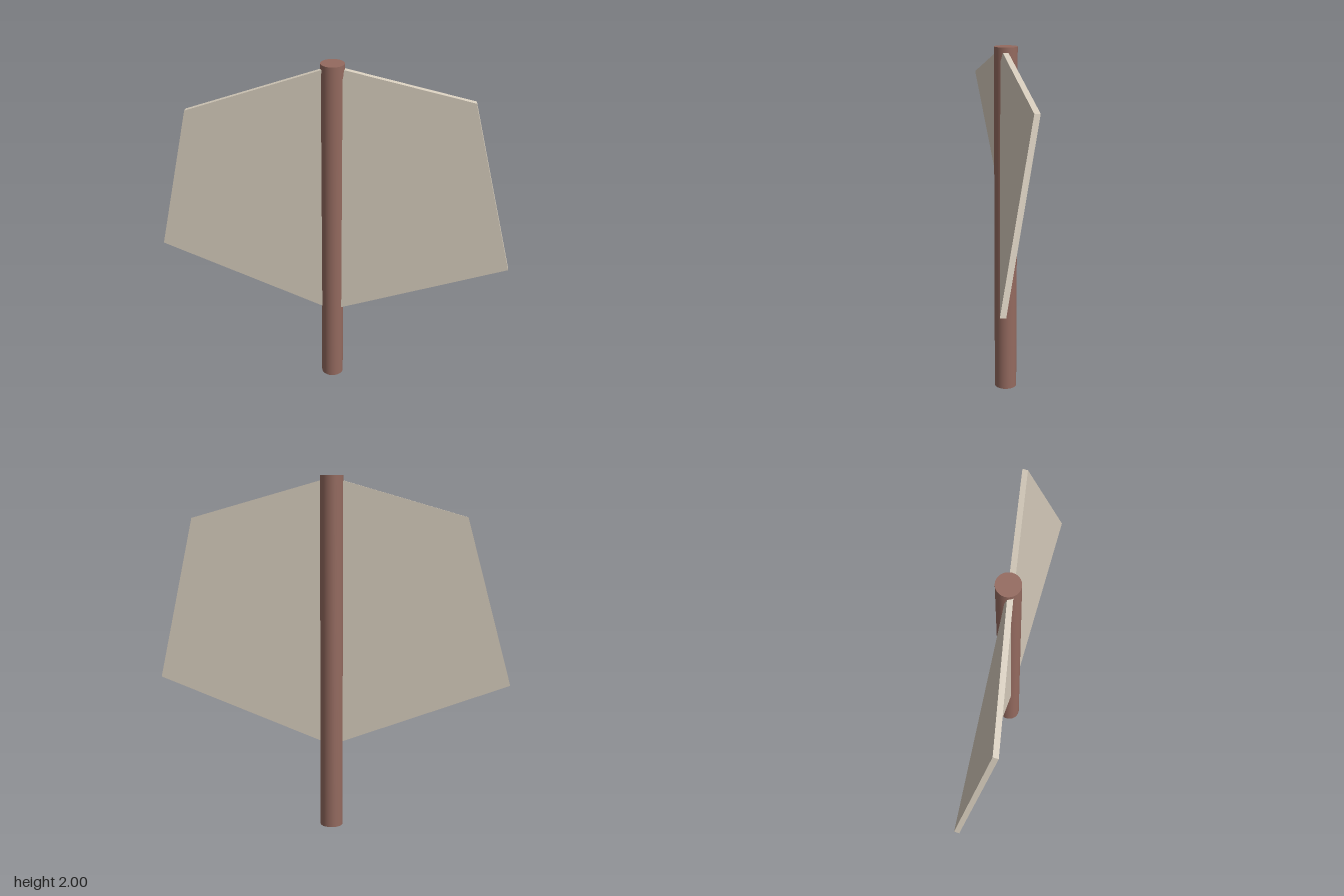
import * as THREE from 'three';

const canvasMat = new THREE.MeshStandardMaterial({ color: 0xd7cdbd });
canvasMat.name = 'beige canvas';
const woodMat = new THREE.MeshStandardMaterial({ color: 0x946a5f });
woodMat.name = 'brown wood';

// A thin slab with one bent-back corner; faces keep the shading of a flat panel
function panelGeometry() {
  const half = 0.015;
  const outline = [[0, 0.475, 0], [1, 0.85, 0], [0.75, 1.77, -0.16], [0, 1.99, 0]];
  const pos = [], nor = [];
  const at = (i, side) => [outline[i][0], outline[i][1], outline[i][2] + side * half];
  const tri = (a, b, c, n) => {
    pos.push(...a, ...b, ...c);
    nor.push(...n, ...n, ...n);
  };
  // front and back, folded along the line from outer corner to top
  for (const [a, b, c] of [[0, 1, 3], [1, 2, 3]]) {
    tri(at(a, 1), at(b, 1), at(c, 1), [0, 0, 1]);
    tri(at(a, -1), at(c, -1), at(b, -1), [0, 0, -1]);
  }
  // rim
  for (let i = 0; i < 4; i++) {
    const j = (i + 1) % 4;
    const dx = outline[j][0] - outline[i][0], dy = outline[j][1] - outline[i][1];
    const len = Math.hypot(dx, dy);
    const n = [dy / len, -dx / len, 0];
    tri(at(i, 1), at(i, -1), at(j, -1), n);
    tri(at(i, 1), at(j, -1), at(j, 1), n);
  }
  const g = new THREE.BufferGeometry();
  g.setAttribute('position', new THREE.Float32BufferAttribute(pos, 3));
  g.setAttribute('normal', new THREE.Float32BufferAttribute(nor, 3));
  return g;
}

export function createModel() {
  const model = new THREE.Group();
  model.name = 'twistedSailOnPole';

  // upright pole
  const pole = new THREE.Mesh(new THREE.CylinderGeometry(0.064, 0.064, 2, 32), woodMat);
  pole.name = 'pole';
  pole.position.set(0, 1, -0.014);
  model.add(pole);

  // two panels, half a turn apart
  const geometry = panelGeometry();
  ['leftPanel', 'rightPanel'].forEach((name, i) => {
    const panel = new THREE.Mesh(geometry, canvasMat);
    panel.name = name;
    panel.rotation.y = i * Math.PI;
    model.add(panel);
  });
  return model;
}
